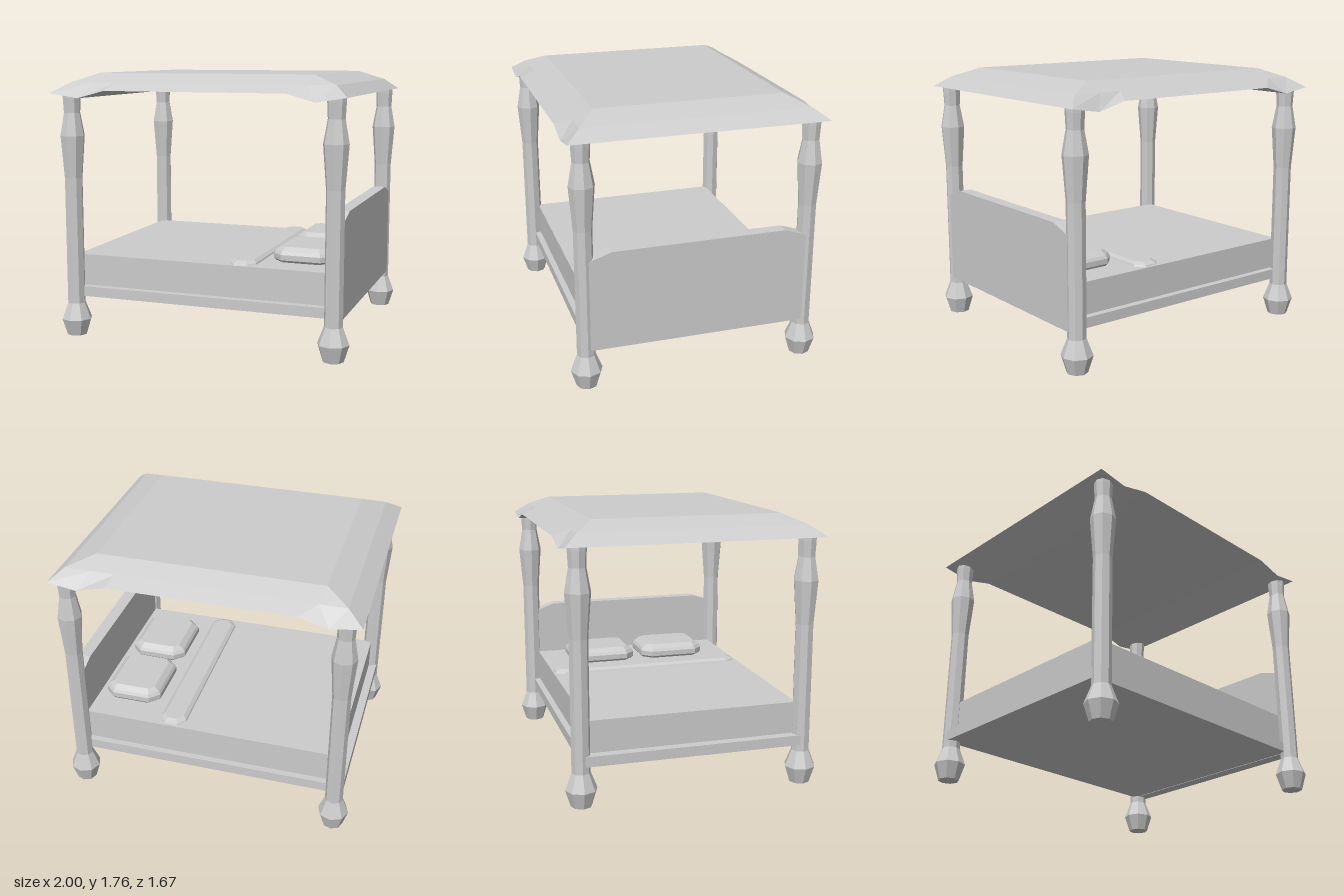
import * as THREE from 'three';

const material = new THREE.MeshStandardMaterial({ color: 0xcccccc, flatShading: true });

function add(parent, name, geometry, x = 0, y = 0, z = 0) {
  const mesh = new THREE.Mesh(geometry, material);
  mesh.name = name;
  mesh.position.set(x, y, z);
  parent.add(mesh);
  return mesh;
}

// Box given by its extents on each axis
function slab(parent, name, [x0, x1], [y0, y1], [z0, z1]) {
  return add(parent, name, new THREE.BoxGeometry(x1 - x0, y1 - y0, z1 - z0),
    (x0 + x1) / 2, (y0 + y1) / 2, (z0 + z1) / 2);
}

// Closed solid through rings, bottom to top. Each ring is given by its front
// half, left to right, and is mirrored in z to make the back half.
function loft(halves) {
  const rings = halves.map(h => [...h, ...h.map(([x, y, z]) => [x, y, -z]).reverse()]);
  const n = rings[0].length;
  const pos = [];
  const quad = (a, b, c, d) => pos.push(...a, ...b, ...c, ...a, ...c, ...d);
  for (let r = 0; r < rings.length - 1; r++) {
    for (let i = 0; i < n; i++) {
      const j = (i + 1) % n;
      quad(rings[r][i], rings[r][j], rings[r + 1][j], rings[r + 1][i]);
    }
  }
  const low = rings[0], top = rings[rings.length - 1];
  for (let i = 0; i < n / 2 - 1; i++) {
    quad(top[i], top[i + 1], top[n - 2 - i], top[n - 1 - i]);
    quad(low[n - 1 - i], low[n - 2 - i], low[i + 1], low[i]);
  }
  const geometry = new THREE.BufferGeometry();
  geometry.setAttribute('position', new THREE.Float32BufferAttribute(pos, 3));
  geometry.computeVertexNormals();
  return geometry;
}

// Front half of a rectangle with cut corners
const cutRect = (hx, hz, cx, cz, y) =>
  [[-hx, y, hz - cz], [-hx + cx, y, hz], [hx - cx, y, hz], [hx, y, hz - cz]];

export function createModel() {
  const bed = new THREE.Group();
  bed.name = 'canopyBed';

  // Four turned, eight-sided posts
  const profile = [[0, 0], [0.068, 0], [0.1025, 0.11], [0.06, 0.22], [0.06, 1.07],
    [0.082, 1.35], [0.055, 1.5], [0.06, 1.6], [0.06, 1.625], [0, 1.625]]
    .map(([r, y]) => new THREE.Vector2(r, y));
  const postGeometry = new THREE.LatheGeometry(profile, 8);
  for (const x of [-0.893, 0.893]) {
    for (const z of [-0.735, 0.735]) add(bed, 'post', postGeometry, x, 0, z);
  }

  // Base with a rail at the foot, and the mattress above it
  slab(bed, 'base', [-0.9, 0.9], [0.265, 0.332], [-0.735, 0.735]);
  slab(bed, 'footRail', [-0.945, -0.88], [0.265, 0.332], [-0.715, 0.715]);
  slab(bed, 'mattress', [-0.89, 0.87], [0.335, 0.545], [-0.695, 0.695]);

  // Headboard with cut upper corners
  const board = new THREE.Shape([[-0.715, 0.262], [0.715, 0.262], [0.715, 0.865],
    [0.69, 0.88], [0.57, 0.92], [-0.57, 0.92], [-0.69, 0.88], [-0.715, 0.865]]
    .map(([z, y]) => new THREE.Vector2(z, y)));
  const boardGeometry = new THREE.ExtrudeGeometry(board, { depth: 0.085, bevelEnabled: false });
  boardGeometry.rotateY(Math.PI / 2);
  add(bed, 'headboard', boardGeometry, 0.86);

  // Two pillows
  const pillow = loft([
    cutRect(0.185, 0.225, 0.065, 0.065, 0),
    cutRect(0.197, 0.237, 0.065, 0.065, 0.015),
    cutRect(0.197, 0.237, 0.065, 0.065, 0.05),
    cutRect(0.185, 0.225, 0.06, 0.06, 0.07),
    cutRect(0.15, 0.19, 0.035, 0.035, 0.097),
  ]);
  for (const z of [-0.27, 0.27]) add(bed, 'pillow', pillow, 0.612, 0.545, z);

  // Folded strip of blanket
  add(bed, 'blanketFold', loft([
    cutRect(0.092, 0.68, 0.045, 0.06, 0),
    cutRect(0.088, 0.675, 0.045, 0.06, 0.01),
    cutRect(0.065, 0.64, 0.035, 0.05, 0.026),
  ]), 0.26, 0.545, 0);

  // Canopy: scalloped hem, crease, flat top
  const row = (xs, ys, z) => xs.map((x, i) => [x, ys[i], z]);
  const level = y => Array(6).fill(y);
  add(bed, 'canopy', loft([
    row([-1, -0.8, -0.61, 0.6, 0.785, 0.978], [1.63, 1.6, 1.65, 1.65, 1.6, 1.63], 0.83),
    row([-0.895, -0.72, -0.565, 0.555, 0.71, 0.89], level(1.7), 0.735),
    row([-0.742, -0.6, -0.47, 0.46, 0.59, 0.722], level(1.76), 0.615),
  ]));

  return bed;
}
